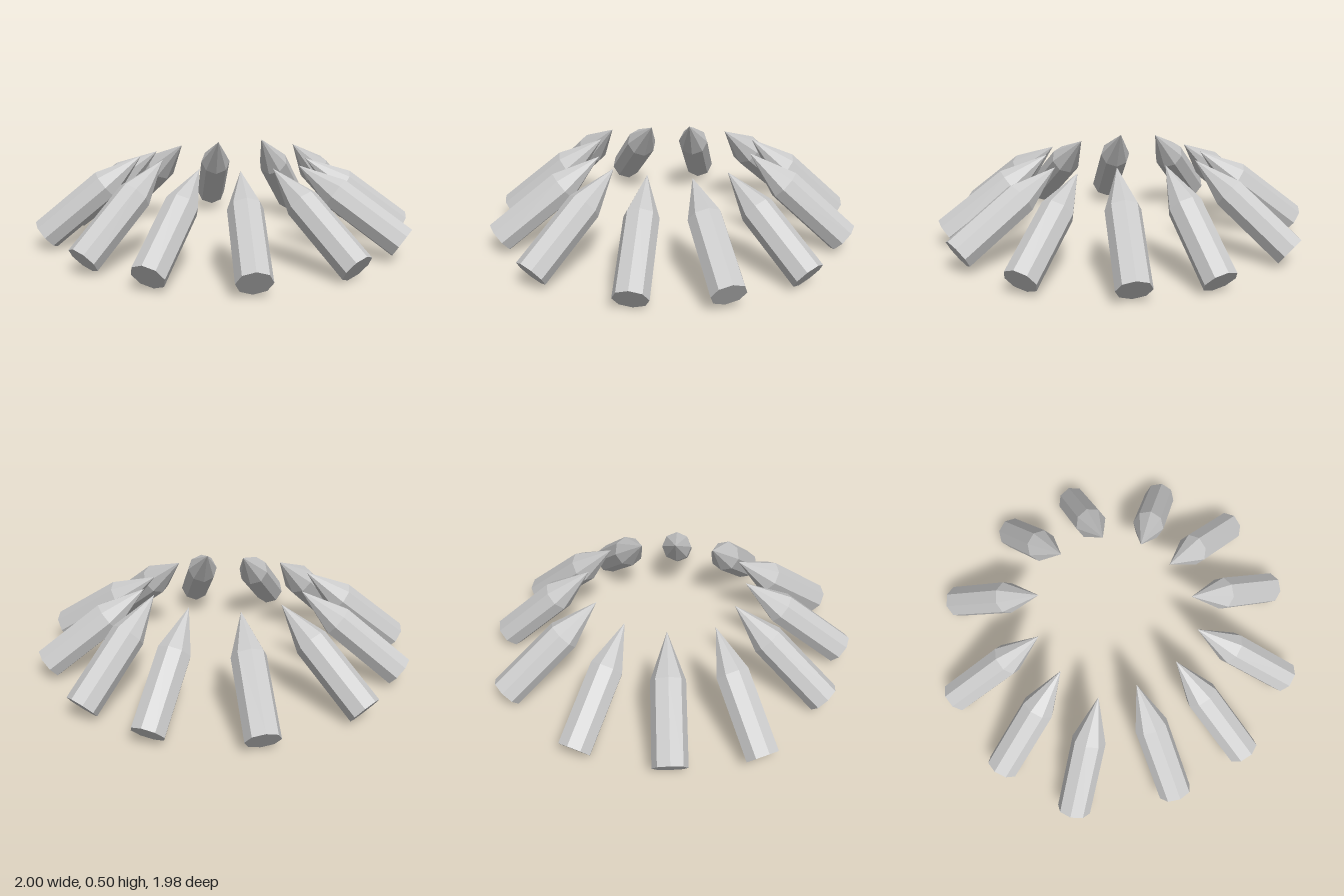
import * as THREE from 'three';

const RADIUS = 0.086;
const TIP_LENGTH = 0.24;

// base centre and point of each stake, going round the ring from the back
const STAKES = [
  [[-0.005, 0.085, -0.94], [0, 0.49, -0.425]],
  [[0.495, 0.072, -0.775], [0.245, 0.51, -0.375]],
  [[0.785, 0.08, -0.49], [0.395, 0.51, -0.19]],
  [[0.945, 0.085, 0.0], [0.43, 0.465, 0.01]],
  [[0.845, 0.105, 0.435], [0.36, 0.46, 0.185]],
  [[0.54, 0.078, 0.745], [0.205, 0.475, 0.34]],
  [[0.04, 0.085, 0.93], [0.035, 0.48, 0.41]],
  [[-0.42, 0.085, 0.8], [-0.16, 0.48, 0.345]],
  [[-0.725, 0.08, 0.505], [-0.335, 0.5, 0.185]],
  [[-0.95, 0.082, 0.02], [-0.445, 0.495, 0.02]],
  [[-0.835, 0.085, -0.405], [-0.36, 0.48, -0.2]],
  [[-0.535, 0.085, -0.765], [-0.215, 0.485, -0.36]],
];

// eight-sided post with a flat foot and a sharpened end, running along +z
function stakeGeometry(length) {
  const profile = [
    [0, 0], [RADIUS, 0], [RADIUS, length - TIP_LENGTH], [0, length],
  ].map(([r, y]) => new THREE.Vector2(r, y));
  return new THREE.LatheGeometry(profile, 8).rotateX(Math.PI / 2);
}

export function createModel() {
  const model = new THREE.Group();
  model.name = 'stakeRing';
  const material = new THREE.MeshStandardMaterial({ color: 0xcccccc, flatShading: true });

  STAKES.forEach(([foot, point], i) => {
    const base = new THREE.Vector3(...foot);
    const tip = new THREE.Vector3(...point);
    const stake = new THREE.Mesh(stakeGeometry(base.distanceTo(tip)), material);
    stake.name = `stake${i + 1}`;
    stake.position.copy(base);
    stake.lookAt(tip);
    model.add(stake);
  });
  return model;
}
